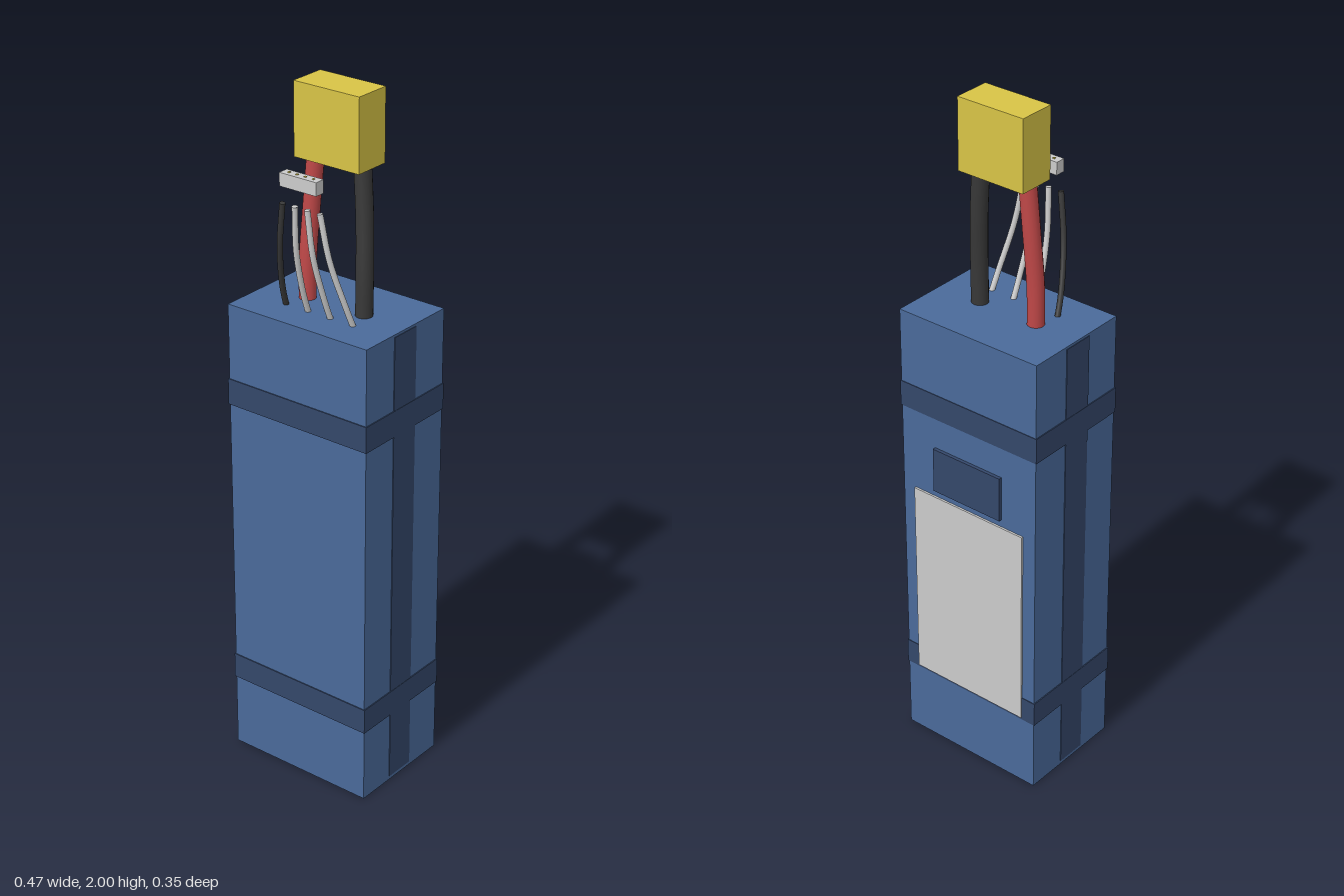
import * as THREE from 'three';

const mat = (color, side = THREE.FrontSide) => new THREE.MeshStandardMaterial({ color, side });

export function createModel() {
  const group = new THREE.Group();
  const blue = mat(0x4a6a9a), navy = mat(0x34476a), grey = mat(0xcccccc);
  const yellow = mat(0xd8c446), red = mat(0xc04848), black = mat(0x383838);

  const add = (name, geometry, material) => {
    const mesh = new THREE.Mesh(geometry, material);
    mesh.name = name;
    group.add(mesh);
    return mesh;
  };
  // Box given by its min and max on each axis
  const box = (name, material, [x0, x1], [y0, y1], [z0, z1]) =>
    add(name, new THREE.BoxGeometry(x1 - x0, y1 - y0, z1 - z0), material)
      .position.set((x0 + x1) / 2, (y0 + y1) / 2, (z0 + z1) / 2);
  // Round wire through points, closed with a disc at its upper end
  const wire = (name, material, radius, points) => {
    const curve = new THREE.CatmullRomCurve3(points.map(p => new THREE.Vector3(...p)));
    add(name, new THREE.TubeGeometry(curve, 24, radius, 16), material);
    const cap = add(name + 'End', new THREE.CircleGeometry(radius, 16), material);
    cap.position.copy(curve.getPoint(1));
    cap.quaternion.setFromUnitVectors(new THREE.Vector3(0, 0, 1), curve.getTangent(1));
  };

  // Battery pack body
  box('packBody', blue, [-0.232, 0.232], [0, 1.39], [-0.163, 0.17]);

  // Tape bands around the pack
  for (const y of [0.26, 1.133])
    box('tapeBand', navy, [-0.235, 0.235], [y - 0.038, y + 0.038], [-0.165, 0.173]);

  // Vertical tape on both sides
  for (const s of [-1, 1])
    box('sideTape', navy, [s * 0.233 - 0.001, s * 0.233 + 0.001], [0.012, 1.383], [-0.04, 0.053]);

  // Labels on the back
  box('backLabel', grey, [-0.19, 0.19], [0.23, 0.845], [-0.169, -0.162]);
  box('smallBackLabel', navy, [-0.116, 0.116], [0.868, 1.003], [-0.173, -0.162]);

  // Main power plug and its two thick leads
  box('powerPlug', yellow, [-0.106, 0.106], [1.795, 2.0], [-0.066, 0.043]);
  for (const s of [-1, 1])
    wire(s < 0 ? 'redLead' : 'blackLead', s < 0 ? red : black, 0.024, [
      [s * 0.095, 1.37, 0.004], [s * 0.095, 1.5, 0.002],
      [s * 0.088, 1.65, -0.006], [s * 0.076, 1.81, -0.011],
    ]);

  // Thin balance wires
  for (let i = 0; i < 4; i++) {
    const k = i - 1.5;
    wire('balanceWire', i === 0 ? black : grey, 0.008, [
      [k * 0.076, 1.37, 0.066], [k * 0.07, 1.45, 0.096],
      [k * 0.055, 1.58, 0.132], [k * 0.041, 1.71, 0.145],
    ]);
  }

  // Balance plug with contact pins
  box('balancePlug', grey, [-0.06, 0.06], [1.76, 1.797], [0.128, 0.158]);
  for (let i = 0; i < 4; i++) {
    const x = (i - 1.5) * 0.0265;
    box('contactPin', yellow, [x - 0.003, x + 0.003], [1.79, 1.799], [0.14, 0.146]);
  }

  return group;
}
